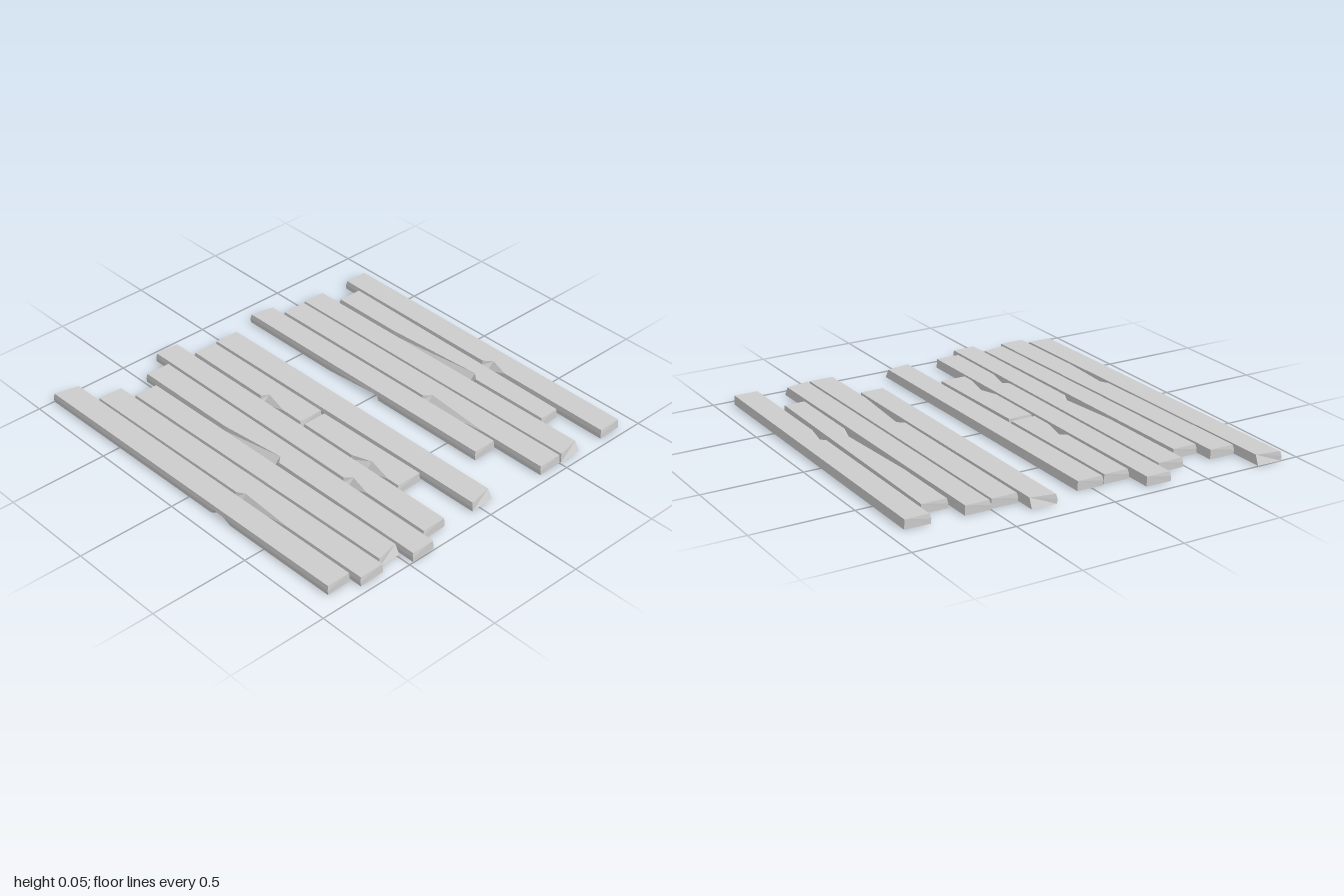
import * as THREE from 'three';

const H = 0.046; // plank thickness

// x0, x1: ends; b: back edge z at both ends; f: front edge z at both ends
// chip: [start, apex, end, depth] broken out of the front edge, on top or (under) below
// bevel: end whose top back corner is cut off (-1 left, 1 right)
const PLANKS = [
  { x0: -0.79, x1: 0.96, b: [-0.918, -0.907], f: [-0.79, -0.777], chip: [0.19, 0.23, 0.34, 0.035] },
  { x0: -0.685, x1: 0.71, b: [-0.78, -0.757], f: [-0.647, -0.643], chip: [-0.3, 0.24, 0.28, 0.033] },
  { x0: -0.795, x1: 0.957, b: [-0.628, -0.635], f: [-0.5, -0.507], chip: [0, 0.1, 0.3, 0.02], under: true, bevel: 1 },
  { x0: -0.79, x1: 0.957, b: [-0.495, -0.502], f: [-0.36, -0.368], chip: [0.2, 0.23, 0.6, 0.035] },
  { x0: -0.887, x1: 0.68, b: [-0.35, -0.36], f: [-0.222, -0.23], chip: [-0.3, 0, 0.04, 0.03], under: true, bevel: -1 },
  { x0: -0.82, x1: 0.93, b: [-0.073, -0.085], f: [0.062, 0.046], chip: [-0.3, -0.1, 0, 0.02], under: true, bevel: 1 },
  { x0: -0.815, x1: -0.035, b: [0.07, 0.065], f: [0.202, 0.202], chip: [-0.32, -0.3, -0.16, 0.035] },
  { x0: -0.015, x1: 0.62, b: [0.07, 0.06], f: [0.202, 0.202], chip: [0.31, 0.41, 0.55, 0.035] },
  { x0: -0.935, x1: 0.922, b: [0.215, 0.207], f: [0.345, 0.341], chip: [0.41, 0.44, 0.56, 0.032] },
  { x0: -0.83, x1: 0.997, b: [0.352, 0.35], f: [0.488, 0.479], chip: [-0.25, 0.1, 0.13, 0.035] },
  { x0: -0.73, x1: 0.925, b: [0.507, 0.485], f: [0.638, 0.61], chip: [0, 0.1, 0.3, 0.02], under: true, bevel: 1 },
  { x0: -0.825, x1: 0.96, b: [0.646, 0.616], f: [0.779, 0.751], chip: [0.16, 0.2, 0.5, 0.022] },
  { x0: -1, x1: 0.907, b: [0.784, 0.76], f: [0.914, 0.89], chip: [0.15, 0.18, 0.28, 0.025], under: true, bevel: -1 },
];

// Skins five-point cross-sections set along x
function plankGeometry({ x0, x1, b, f, chip, under, bevel }) {
  const [start, apex, end, depth] = chip;
  const pos = [], index = [], N = 5;
  const xs = [x0, start, apex, end, x1];
  xs.forEach((x, i) => {
    const t = (x - x0) / (x1 - x0);
    const zb = THREE.MathUtils.lerp(b[0], b[1], t);
    const zf = THREE.MathUtils.lerp(f[0], f[1], t);
    const cut = i === 2 ? depth : 0;
    const side = i === 0 ? -1 : i === 4 ? 1 : 0;
    // Cut the top of the ends back
    const back = side * (side && side === bevel ? 0.028 : 0.005);
    const front = side * 0.004;
    const midY = cut ? (under ? 0.027 : 0.01) : H / 2;
    pos.push(
      x - back, H, zb + 0.003,
      x - front, H, zf - 0.005 - (under ? 0 : cut),
      x, midY, zf,
      x, 0, zf - 0.002 - (under ? cut : 0),
      x - side * 0.004, 0, zb,
    );
  });
  for (let i = 0; i < xs.length - 1; i++) {
    for (let j = 0; j < N; j++) {
      const p = i * N + j, q = i * N + (j + 1) % N;
      index.push(p, q, p + N, q, q + N, p + N);
    }
  }
  // End caps
  const last = (xs.length - 1) * N;
  for (let j = 1; j < N - 1; j++) {
    index.push(0, j + 1, j, last, last + j, last + j + 1);
  }
  const geometry = new THREE.BufferGeometry();
  geometry.setAttribute('position', new THREE.Float32BufferAttribute(pos, 3));
  geometry.setIndex(index);
  const flat = geometry.toNonIndexed();
  flat.computeVertexNormals();
  return flat;
}

export function createModel() {
  const group = new THREE.Group();
  group.name = 'plankFloor';
  const wood = new THREE.MeshStandardMaterial({ color: 0xcccccc, flatShading: true });
  PLANKS.forEach((plank, i) => {
    const mesh = new THREE.Mesh(plankGeometry(plank), wood);
    mesh.name = `plank${i + 1}`;
    group.add(mesh);
  });
  return group;
}
